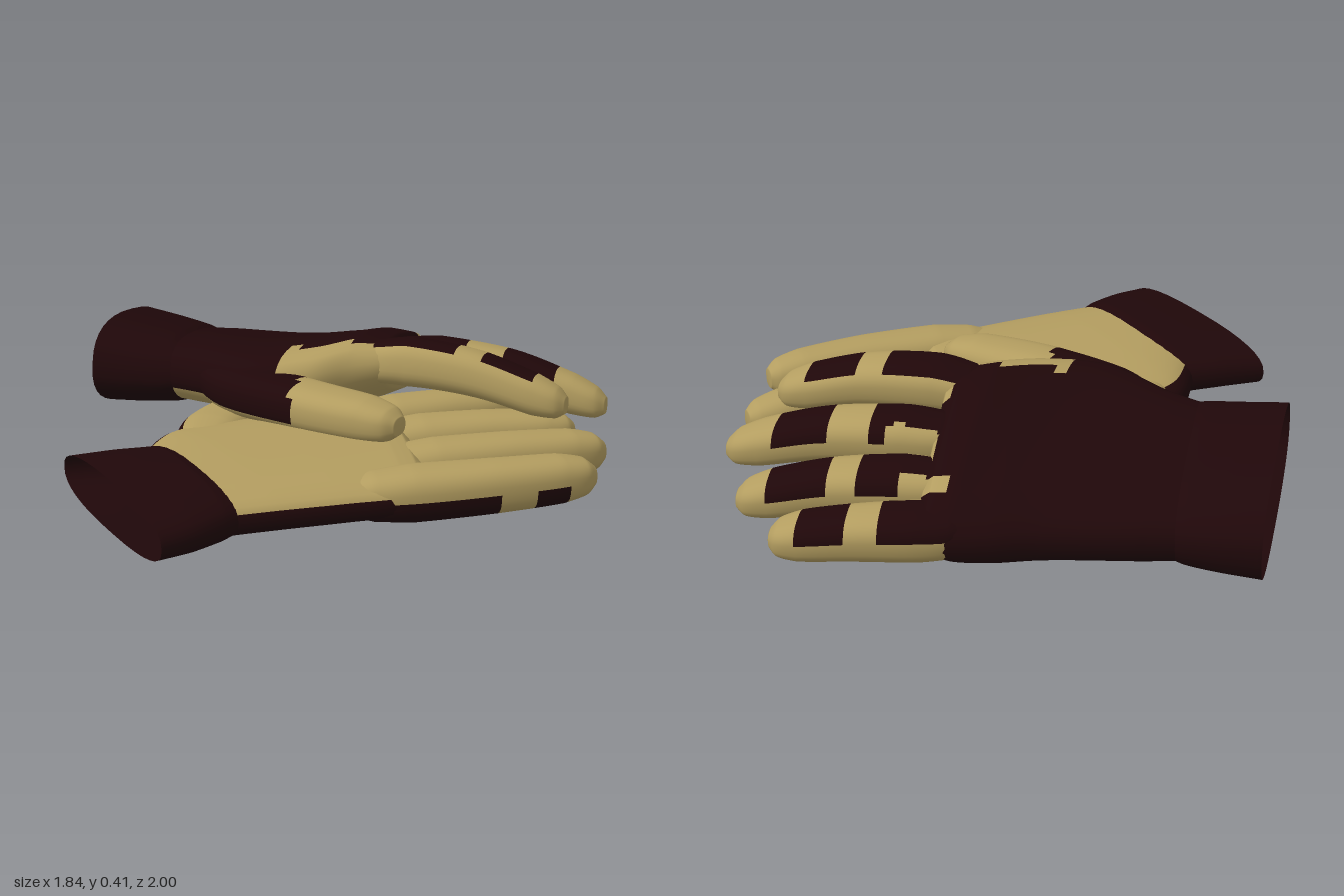
import * as THREE from 'three';

const palmTan = new THREE.MeshStandardMaterial({ color: 0xb39d60, side: THREE.DoubleSide });
palmTan.name = 'palm tan';
const darkMaroon = new THREE.MeshStandardMaterial({ color: 0x1f0709, side: THREE.DoubleSide });
darkMaroon.name = 'dark maroon';

const V = (a) => new THREE.Vector3(...a);
const power = (v) => Math.sign(v) * Math.abs(v) ** 0.78;
const SEGS = 32;

// Loft through stations [edgeP, edgeQ, halfThickness, fraction], open at the start.
// paint(point, s, f) is true where dark: s runs -1 (under) to 1 (top), f along the part.
function loft(name, stations, paint, capped = true, sub = 10) {
  const P = new THREE.CatmullRomCurve3(stations.map((s) => V(s[0])));
  const Q = new THREE.CatmullRomCurve3(stations.map((s) => V(s[1])));
  const n = (stations.length - 1) * sub;
  const pts = [], fractions = [];
  for (let i = 0; i <= n; i++) {
    const u = i / n;
    const p = P.getPoint(u), q = Q.getPoint(u);
    const k = Math.min(Math.floor(u * (stations.length - 1)), stations.length - 2);
    const w = u * (stations.length - 1) - k;
    const t = THREE.MathUtils.lerp(stations[k][2], stations[k + 1][2], w);
    fractions.push(THREE.MathUtils.lerp(stations[k][3] ?? 0, stations[k + 1][3] ?? 1, w));
    const c = p.clone().add(q).multiplyScalar(0.5);
    const e = q.clone().sub(p).multiplyScalar(0.5);
    const d = e.clone().normalize();
    const up = new THREE.Vector3(0, 1, 0).addScaledVector(d, -d.y).normalize();
    for (let j = 0; j < SEGS; j++) {
      const a = (j / SEGS) * Math.PI * 2;
      pts.push(c.clone().addScaledVector(e, power(Math.cos(a))).addScaledVector(up, t * power(Math.sin(a))));
    }
  }
  const faces = [[], []];
  for (let i = 0; i < n; i++) {
    for (let j = 0; j < SEGS; j++) {
      const a = i * SEGS + j, b = i * SEGS + ((j + 1) % SEGS), c = a + SEGS, d = b + SEGS;
      const mid = pts[a].clone().add(pts[d]).multiplyScalar(0.5);
      const s = Math.sin(((j + 0.5) / SEGS) * Math.PI * 2);
      faces[paint(mid, s, fractions[i]) ? 1 : 0].push(a, c, d, a, d, b);
    }
  }
  if (capped) {
    const o = n * SEGS, m = pts.length;
    pts.push(pts[o].clone().add(pts[o + SEGS / 2]).multiplyScalar(0.5));
    for (let j = 0; j < SEGS; j++) faces[0].push(o + j, m, o + ((j + 1) % SEGS));
  }
  const g = new THREE.BufferGeometry().setFromPoints(pts);
  g.setIndex([...faces[0], ...faces[1]]);
  g.addGroup(0, faces[0].length, 0);
  g.addGroup(faces[0].length, faces[1].length, 1);
  g.computeVertexNormals();
  const mesh = new THREE.Mesh(g, [palmTan, darkMaroon]);
  mesh.name = name;
  return mesh;
}

// Blunt-tipped finger along a centre line, sunk into the palm at its base.
// paint also receives the distance left to the tip.
function finger(name, path, [w0, w1, t0, t1], roll, paint) {
  const curve = new THREE.CatmullRomCurve3(path.map(V));
  const length = curve.getLength();
  const profile = [[0, 0.4], [0.15, 0.85], [0.3, 1], [0.6, 1], [0.86, 0.95], [0.96, 0.74], [1, 0.4]];
  const stations = profile.map(([f, k]) => {
    const c = curve.getPointAt(f), d = curve.getTangentAt(f);
    const side = new THREE.Vector3(-d.z, 0, d.x).normalize();
    side.y = roll;
    side.normalize().multiplyScalar(THREE.MathUtils.lerp(w0, w1, f) * k);
    const t = THREE.MathUtils.lerp(t0, t1, f) * k;
    return [c.clone().sub(side).toArray(), c.clone().add(side).toArray(), t, f];
  });
  return loft(name, stations, (p, s, f) => paint(p, s, (1 - f) * length));
}

// Dark patches on the back of a finger, as distances from the tip:
// base patch ends, joint patch starts, joint patch ends
const banded = ([base, start, end], d) => d > base || (d < start && d > end);

// Tan gussets between the upper fingers: [x where the gusset starts, z]
const gussets = [[0.05, -0.8], [0.13, -0.62], [0.14, -0.41]];
const inGusset = (p) => gussets.some(([x, z]) => p.x > x && p.x < x + 0.16 && Math.abs(p.z - z) < 0.035);

function upperGlove() {
  const g = new THREE.Group();
  g.name = 'upperGlove';
  g.add(loft('upperCuff', [
    [[-0.91, 0.11, -0.83], [-0.91, 0.245, -0.14], 0.162],
    [[-0.78, 0.105, -0.82], [-0.78, 0.24, -0.14], 0.148],
    [[-0.67, 0.1, -0.8], [-0.65, 0.24, -0.145], 0.132],
    [[-0.62, 0.1, -0.78], [-0.6, 0.24, -0.15], 0.115],
  ], () => true, false));
  g.add(loft('upperPalm', [
    [[-0.68, 0.1, -0.785], [-0.66, 0.24, -0.16], 0.12],
    [[-0.55, 0.095, -0.808], [-0.53, 0.25, -0.12], 0.127],
    [[-0.25, 0.09, -0.865], [-0.3, 0.275, -0.01], 0.13],
    [[-0.1, 0.09, -0.92], [-0.1, 0.3, -0.06], 0.13],
    [[0.02, 0.095, -0.95], [0.03, 0.325, -0.15], 0.125],
    [[0.09, 0.11, -0.95], [0.13, 0.33, -0.2], 0.1],
    [[0.12, 0.12, -0.93], [0.18, 0.33, -0.23], 0.05],
  ], (p, s) => s > -0.3 && !inGusset(p) && !(p.x > -0.19 && p.z > -0.18 - 0.3 * (p.x + 0.19))));
  const fingers = [
    ['upperIndex', [[-0.02, 0.3, -0.29], [0.34, 0.32, -0.275], [0.76, 0.225, -0.26]], 0.65, [0.41, 0.3, 0.13]],
    ['upperMiddle', [[0, 0.25, -0.51], [0.45, 0.24, -0.53], [0.85, 0.14, -0.53]], 0.2, [0.51, 0.38, 0.19]],
    ['upperRing', [[-0.02, 0.19, -0.7], [0.4, 0.16, -0.72], [0.745, 0.085, -0.75]], 0.2, [0.42, 0.32, 0.11]],
    ['upperLittle', [[-0.08, 0.13, -0.85], [0.27, 0.11, -0.9], [0.58, 0.065, -0.925]], 0.2, [0.36, 0.26, 0.11]],
  ];
  for (const [name, path, edge, bands] of fingers) {
    g.add(finger(name, path, [0.1, 0.082, 0.09, 0.07], 0.15,
      (p, s, d) => s > edge && banded(bands, d) && !inGusset(p)));
  }
  g.add(finger('upperThumb',
    [[-0.52, 0.23, -0.24], [-0.22, 0.235, -0.03], [0.05, 0.24, 0.06], [0.285, 0.235, 0.125]],
    [0.13, 0.09, 0.085, 0.075], 0, (p, s) => p.x < -0.1 && s > -0.4));
  return g;
}

function lowerGlove() {
  const g = new THREE.Group();
  g.name = 'lowerGlove';
  g.add(loft('lowerCuff', [
    [[-0.76, 0.1, 0.46], [-0.21, 0.1, 0.995], 0.09],
    [[-0.63, 0.105, 0.39], [-0.13, 0.105, 0.9], 0.096],
    [[-0.52, 0.105, 0.33], [-0.07, 0.11, 0.8], 0.096],
    [[-0.49, 0.105, 0.31], [-0.05, 0.11, 0.76], 0.085],
  ], () => true, false));
  g.add(loft('lowerPalm', [
    [[-0.53, 0.1, 0.36], [-0.1, 0.11, 0.79], 0.088],
    [[-0.51, 0.1, 0.15], [0.06, 0.11, 0.69], 0.092],
    [[-0.3, 0.1, -0.05], [0.25, 0.105, 0.56], 0.092],
    [[0.04, 0.1, -0.27], [0.4, 0.1, 0.45], 0.09],
    [[0.11, 0.1, -0.28], [0.44, 0.1, 0.39], 0.08],
    [[0.15, 0.1, -0.26], [0.46, 0.1, 0.34], 0.045],
  ], (p, s) => {
    const fromThumbEdge = (p.x + 0.2) * 0.66 + (p.z + 0.05) * 0.75;
    if (p.x > -0.22 && fromThumbEdge < 0.06) return false;
    if (p.x < -0.44) return s < 0.5;
    return s < (fromThumbEdge > 0.5 ? 0.15 : -0.15);
  }));
  const fingers = [
    ['lowerIndex', [[0, 0.1, -0.15], [0.27, 0.1, -0.36], [0.51, 0.085, -0.57]], -0.15, [0.48, 0.31, 0.15]],
    ['lowerMiddle', [[0.1, 0.1, 0.01], [0.46, 0.1, -0.21], [0.76, 0.09, -0.39]], -0.15, [0.57, 0.38, 0.2]],
    ['lowerRing', [[0.18, 0.1, 0.23], [0.57, 0.1, -0.02], [0.89, 0.085, -0.25]], -0.15, [0.48, 0.33, 0.14]],
    ['lowerLittle', [[0.16, 0.105, 0.48], [0.56, 0.11, 0.27], [0.91, 0.105, 0.03]], 0.08, [0.36, 0.25, 0.12]],
  ];
  for (const [name, path, edge, bands] of fingers) {
    g.add(finger(name, path, [0.1, 0.08, 0.092, 0.08], 0, (p, s, d) => s < edge && banded(bands, d)));
  }
  g.add(finger('lowerThumb',
    [[-0.33, 0.1, 0.3], [-0.39, 0.1, 0.08], [-0.35, 0.1, -0.15], [-0.14, 0.1, -0.44]],
    [0.12, 0.088, 0.086, 0.078], 0, (p, s) => p.z > -0.11 && (s < -0.15 || (p.x < -0.44 && s < 0.7))));
  return g;
}

export function createModel() {
  const model = new THREE.Group();
  model.name = 'pairOfGloves';
  model.add(upperGlove(), lowerGlove());
  return model;
}
